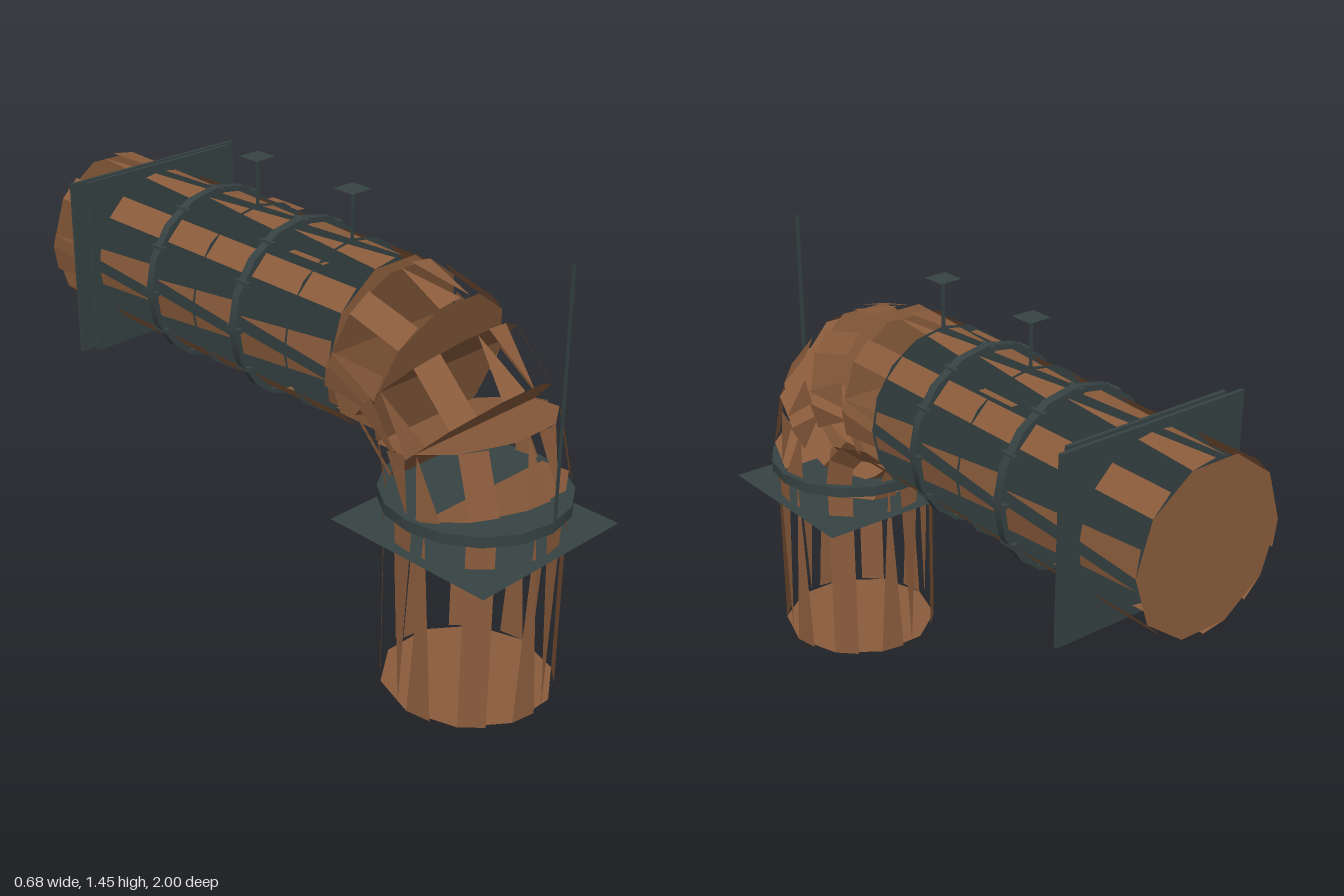
import * as THREE from 'three';

const R = 0.27, SIDES = 20;
const copper = new THREE.MeshStandardMaterial({ color: 0x8b5c3c, side: THREE.DoubleSide });
copper.name = 'copper brown';
const slate = new THREE.MeshStandardMaterial({ color: 0x374242, side: THREE.DoubleSide });
slate.name = 'dark slate';

function add(parent, name, geometry, material, x = 0, y = 0, z = 0) {
  const mesh = new THREE.Mesh(geometry, material);
  mesh.name = name;
  mesh.position.set(x, y, z);
  parent.add(mesh);
  return mesh;
}

// Open pipe shell along +y: full slats on the diagonals, tapered slats beside the axes
function slats(stops) {
  const pos = [];
  const point = (k, y) => {
    const a = (k / SIDES) * Math.PI * 2;
    return [R * Math.cos(a), y, R * Math.sin(a)];
  };
  for (let s = 0; s < stops.length - 1; s++) {
    const y0 = stops[s], y1 = stops[s + 1];
    for (let k = 0; k < SIDES; k++) {
      const a = point(k, y0), b = point(k + 1, y0), c = point(k + 1, y1), d = point(k, y1);
      const mid = (p, q) => p.map((v, i) => (v + q[i]) / 2);
      const m = k % 5;
      if (m === 2) pos.push(...a, ...d, ...c, ...a, ...c, ...b);
      else if ([0, 4, 10, 14].includes(k)) pos.push(...mid(a, b), ...d, ...c);
      else if (m === 0 || m === 4) pos.push(...a, ...mid(c, d), ...b);
    }
  }
  const g = new THREE.BufferGeometry();
  g.setAttribute('position', new THREE.Float32BufferAttribute(pos, 3));
  g.computeVertexNormals();
  return g;
}

// Pipe piece with a flat cap at each end
function pipe(name, stops) {
  const group = new THREE.Group();
  group.name = name;
  add(group, 'pipeSlats', slats(stops), copper);
  for (const y of [stops[0], stops[stops.length - 1]]) {
    const cap = add(group, 'pipeCap', new THREE.CircleGeometry(R, 10), copper, 0, y, 0);
    cap.rotation.x = y === stops[0] ? Math.PI / 2 : -Math.PI / 2;
  }
  return group;
}

export function createModel() {
  const model = new THREE.Group();
  model.name = 'elbowPipe';
  const axisY = 1.015, axisZ = 0.695;

  // Upright and level runs
  const upright = pipe('uprightPipe', [0, 0.65]);
  upright.position.z = axisZ;
  const level = pipe('levelPipe', [0, 0.4, 0.8, 1.35]);
  level.position.set(0, axisY, 0.35);
  level.rotation.x = -Math.PI / 2;
  model.add(upright, level);

  // Elbow of three short pieces
  const bend = 0.345;
  for (const degrees of [15, 45, 75]) {
    const t = THREE.MathUtils.degToRad(degrees);
    const piece = pipe('elbowPiece', [-0.1, 0.1]);
    piece.position.set(0, 0.67 + bend * Math.sin(t), 0.35 + bend * Math.cos(t));
    piece.rotation.x = -t;
    model.add(piece);
  }

  // Floor collar and its square sheet
  add(model, 'collar', new THREE.CylinderGeometry(0.29, 0.29, 0.035, 16), slate, 0, 0.65, axisZ);
  const sheet = add(model, 'collarSheet', new THREE.PlaneGeometry(0.6, 0.6), slate, 0, 0.55, axisZ);
  sheet.rotation.x = -Math.PI / 2;

  // Bolted flanges
  for (const z of [-0.05, -0.45]) {
    const flange = add(model, 'flange', new THREE.CylinderGeometry(0.29, 0.29, 0.03, 16), slate, 0, axisY, z);
    flange.rotation.x = Math.PI / 2;
    for (let i = 0; i < 12; i++) {
      const a = (i / 12) * Math.PI * 2;
      add(model, 'flangeBolt', new THREE.BoxGeometry(0.015, 0.015, 0.06), slate,
        0.28 * Math.cos(a), axisY + 0.28 * Math.sin(a), z);
    }
  }

  // Hanger straps with flat stems and top pads
  for (const z of [0.17, -0.25]) {
    add(model, 'hangerStrap', new THREE.CircleGeometry(0.28, 16), slate, 0, axisY, z);
    add(model, 'hangerStem', new THREE.PlaneGeometry(0.015, 0.17), slate, 0, 1.365, z);
    const pad = add(model, 'hangerPad', new THREE.PlaneGeometry(0.08, 0.08), slate, 0, 1.45, z);
    pad.rotation.x = -Math.PI / 2;
  }

  // Wall plates
  add(model, 'wallPlate', new THREE.BoxGeometry(0.68, 0.59, 0.012), slate, 0, axisY, -0.772);
  add(model, 'wallPlateInner', new THREE.BoxGeometry(0.59, 0.59, 0.012), slate, 0, axisY, -0.745);

  // Thin front rod
  add(model, 'frontRod', new THREE.PlaneGeometry(0.016, 0.8), slate, 0, 1.05, 0.99);

  // Loose strips on top of the level run
  for (const [x, z] of [[0.15, -0.285], [-0.12, 0.11]]) {
    const strip = add(model, 'topStrip', new THREE.PlaneGeometry(0.025, 0.15), copper, x, 1.25, z);
    strip.rotation.x = -Math.PI / 2;
  }
  return model;
}
